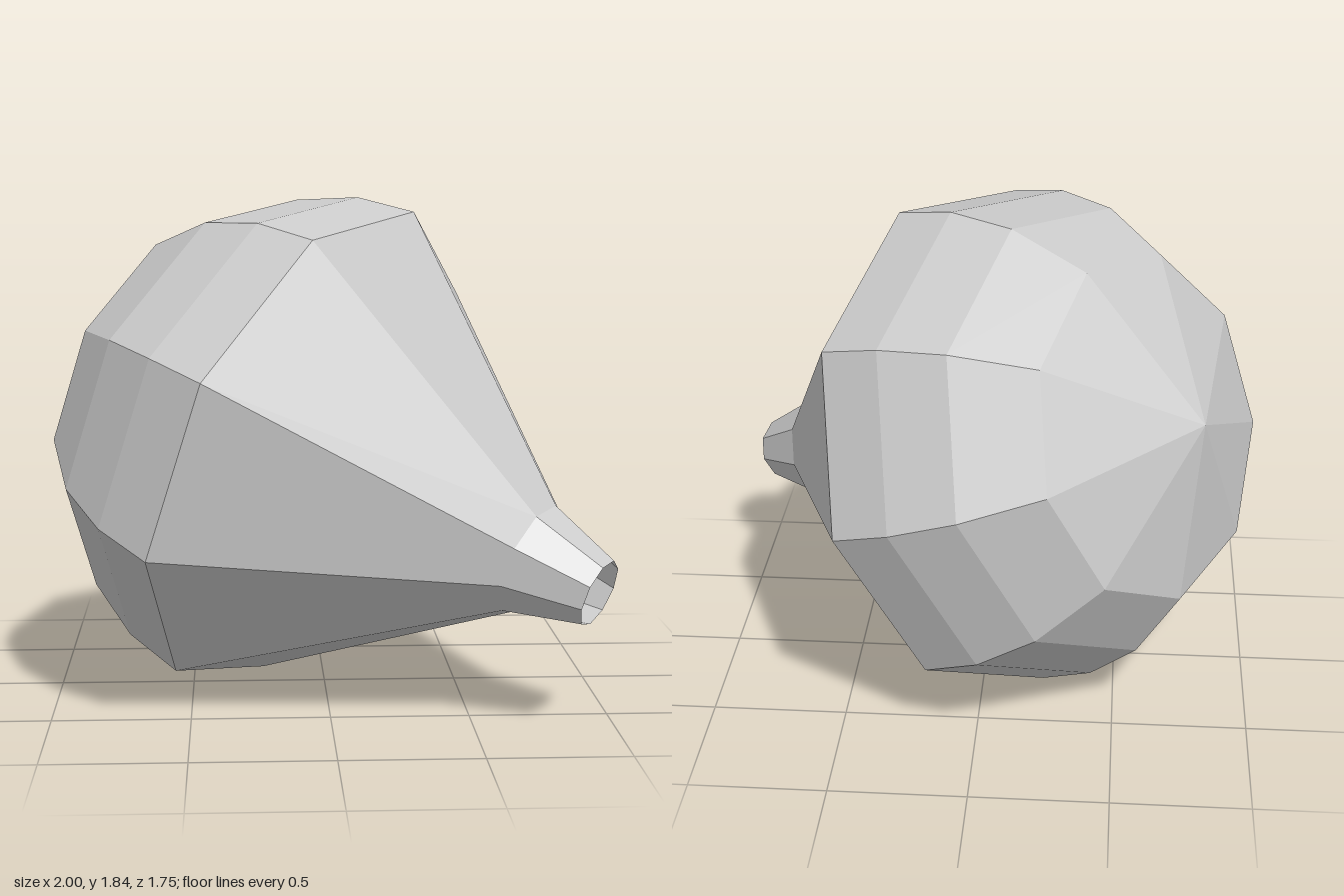
import * as THREE from 'three';

export function createModel() {
  const group = new THREE.Group();
  const material = new THREE.MeshStandardMaterial({
    color: 0xcccccc, flatShading: true, side: THREE.DoubleSide,
  });

  // Profile along the axis: domed back, straight cone, short open neck
  const R = 0.963;
  const dome = [0, 41, 60, 75.5, 90].map((deg) => {
    const a = THREE.MathUtils.degToRad(deg);
    return new THREE.Vector2(R * Math.sin(a), -R * Math.cos(a));
  });
  const neck = [new THREE.Vector2(0.21, 0.965), new THREE.Vector2(0.125, 1.24)];
  const bulb = new THREE.Mesh(new THREE.LatheGeometry([...dome, ...neck], 9), material);
  bulb.name = 'bulbWithOpenNeck';

  // Tilt: local y runs out through the neck, local z towards one of the nine ridges
  const axis = new THREE.Vector3(0.779, -0.325, 0.538).normalize();
  const ridge = new THREE.Vector3(0.389, 0.921, 0);
  ridge.addScaledVector(axis, -ridge.dot(axis)).normalize();
  const across = new THREE.Vector3().crossVectors(axis, ridge);
  bulb.quaternion.setFromRotationMatrix(new THREE.Matrix4().makeBasis(across, axis, ridge));
  bulb.position.set(-0.045, 0.903, 0.07);

  group.add(bulb);
  return group;
}
